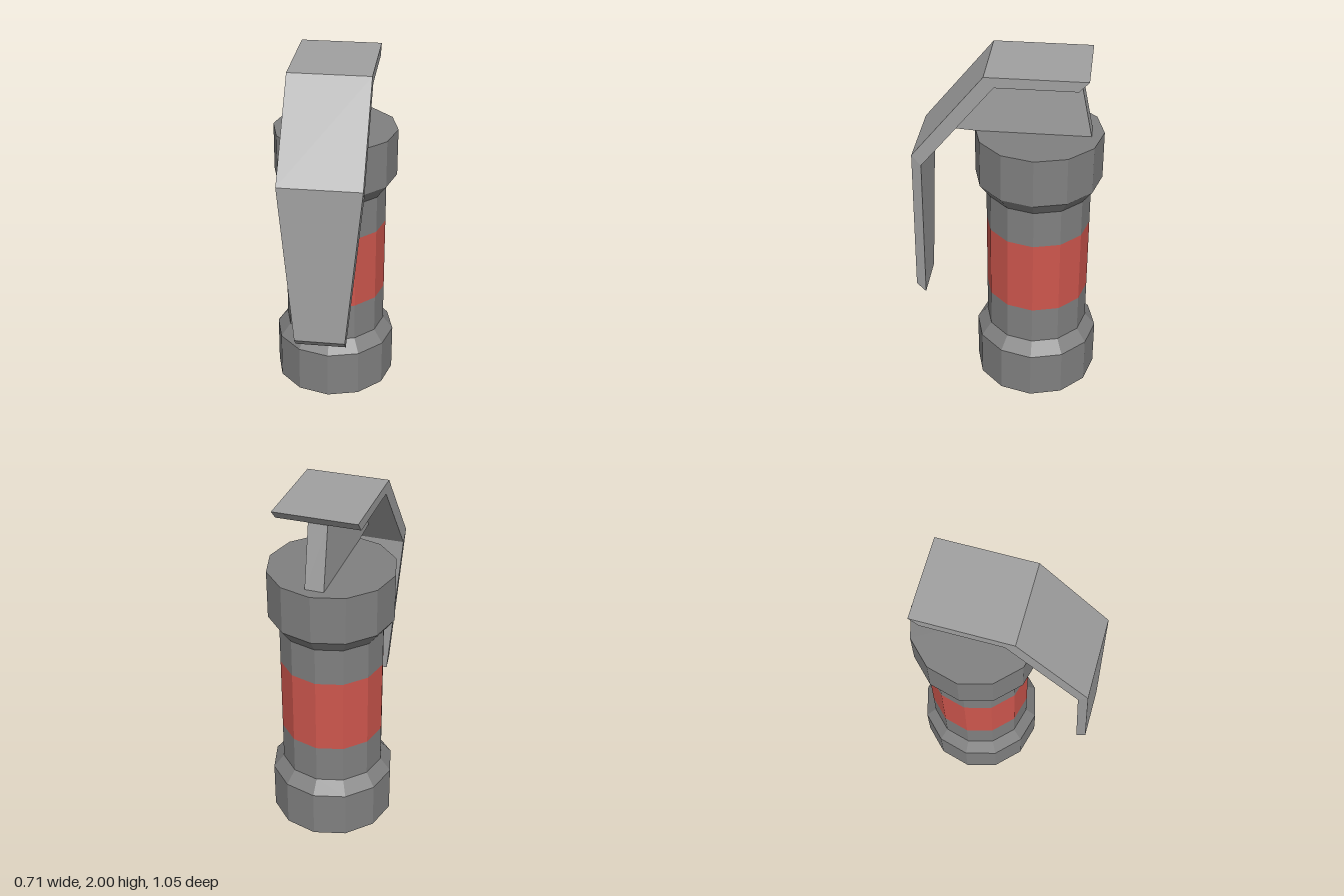
import * as THREE from 'three';

const BODY_Z = -0.17;
const R_BODY = 0.293;
const R_CAP = 0.353;

const material = (color) => new THREE.MeshStandardMaterial({ color, flatShading: true });

function addMesh(group, name, geometry, mat) {
  const mesh = new THREE.Mesh(geometry, mat);
  mesh.name = name;
  group.add(mesh);
  return mesh;
}

// Twelve-sided turned part from [radius, y] pairs, bottom to top
function turned(points) {
  const geometry = new THREE.LatheGeometry(points.map(([r, y]) => new THREE.Vector2(r, y)), 12);
  return geometry.translate(0, 0, BODY_Z);
}

// Side profile of [z, y] pairs given a width; halfWidth(y) sets the half width in x
function sideProfile(points, halfWidth) {
  const shape = new THREE.Shape(points.map(([z, y]) => new THREE.Vector2(z, y)));
  const geometry = new THREE.ExtrudeGeometry(shape, { depth: 2, bevelEnabled: false });
  geometry.translate(0, 0, -1).rotateY(-Math.PI / 2);
  const pos = geometry.attributes.position;
  for (let i = 0; i < pos.count; i++) {
    pos.setX(i, Math.sign(pos.getX(i)) * halfWidth(pos.getY(i)));
  }
  geometry.computeVertexNormals();
  return geometry;
}

export function createModel() {
  const group = new THREE.Group();
  group.name = 'canister';
  const bodyMat = material(0x808080);
  const leverMat = material(0xa0a0a0);
  const bandMat = material(0xcd564d);

  // Canister: flared base, painted band, flared top
  addMesh(group, 'lowerBody', turned([[0, 0], [R_CAP, 0], [R_CAP, 0.28], [R_BODY, 0.355], [R_BODY, 0.58]]), bodyMat);
  addMesh(group, 'colourBand', turned([[R_BODY, 0.58], [R_BODY, 1.02]]), bandMat);
  addMesh(group, 'upperBody', turned([[R_BODY, 1.02], [R_BODY, 1.24], [R_CAP, 1.32], [R_CAP, 1.595], [0, 1.595]]), bodyMat);

  // Thin upright plate carrying the lever
  addMesh(group, 'neck', sideProfile(
    [[-0.455, 1.595], [0.18, 1.595], [0.327, 1.605], [0.05, 1.943], [-0.385, 1.943]],
    () => 0.052
  ), leverMat);

  // Bent lever, narrowing towards its lower end
  addMesh(group, 'lever', sideProfile(
    [[-0.438, 2], [-0.385, 1.943], [0.05, 1.943], [0.445, 1.46], [0.47, 0.55], [0.522, 0.605], [0.495, 1.52], [0.103, 2]],
    (y) => (y < 1 ? 0.14 : 0.227)
  ), leverMat);

  return group;
}
